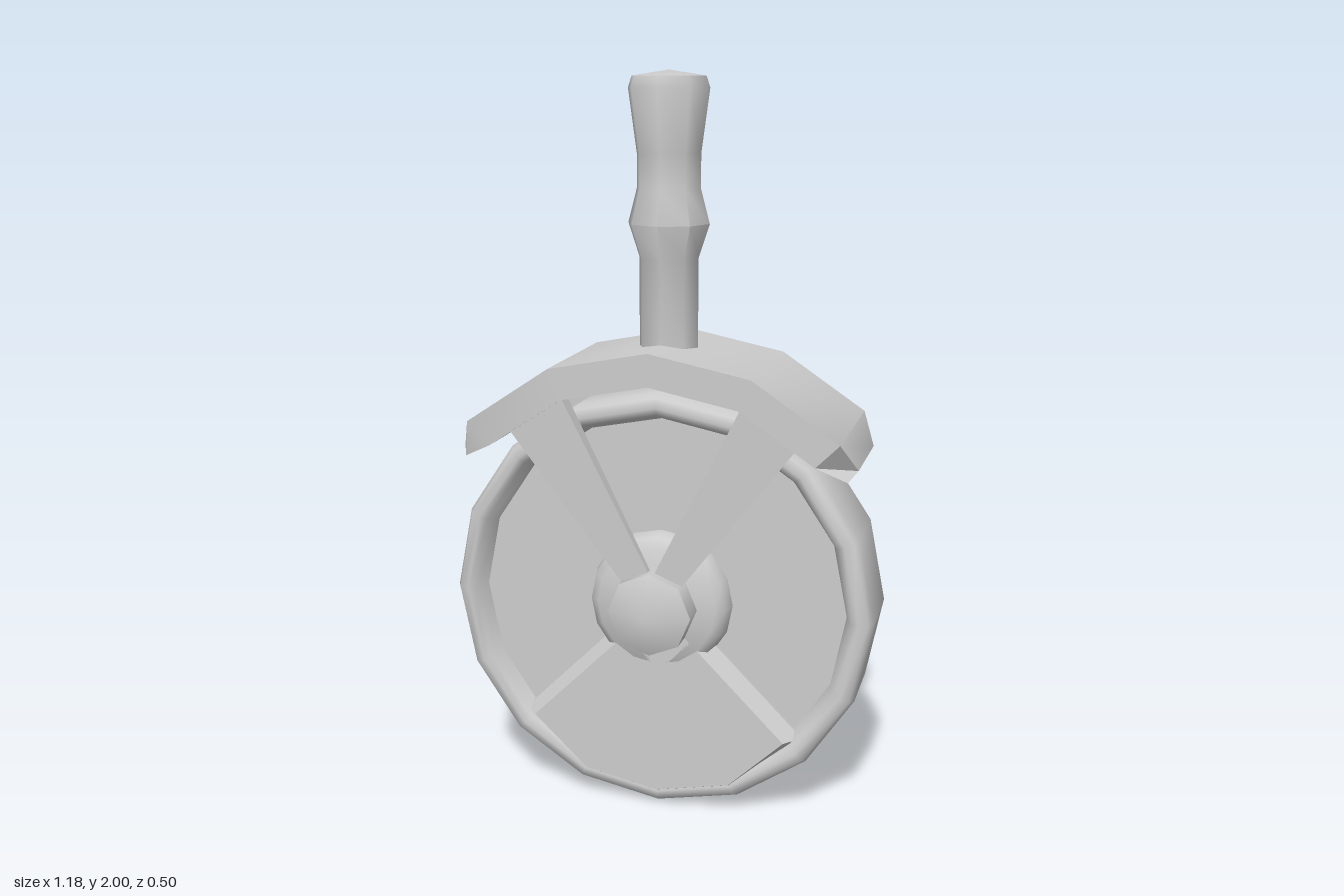
import * as THREE from 'three';
import { toCreasedNormals } from 'three/addons/utils/BufferGeometryUtils.js';

const CENTER_Y = 0.588; // wheel axis height
const grey = new THREE.MeshStandardMaterial({ color: 0xcccccc });
grey.name = 'light grey';

function part(name, geometry, crease = 0.9) {
  const mesh = new THREE.Mesh(toCreasedNormals(geometry, crease), grey);
  mesh.name = name;
  return mesh;
}

// Turned shape from [radius, height] pairs, listed bottom to top
function turned(profile, sides) {
  return new THREE.LatheGeometry(profile.map(([r, h]) => new THREE.Vector2(r, h)), sides);
}

// Adds the mirrored lower half to the upper half of a profile
function bothSides(upper) {
  return [...upper.map(([r, h]) => [r, -h]).reverse(), ...upper];
}

// Solid through four-cornered cross-sections, capped at both ends
function loft(sections) {
  const pos = [];
  const quad = (a, b, c, d) => pos.push(...a, ...b, ...c, ...a, ...c, ...d);
  for (let i = 0; i < sections.length - 1; i++) {
    const s = sections[i], t = sections[i + 1];
    for (let k = 0; k < 4; k++) {
      const n = (k + 1) % 4;
      quad(s[k], t[k], t[n], s[n]);
    }
  }
  quad(...sections[0]);
  quad(...[...sections[sections.length - 1]].reverse());
  const geometry = new THREE.BufferGeometry();
  geometry.setAttribute('position', new THREE.Float32BufferAttribute(pos, 3));
  geometry.computeVertexNormals();
  return geometry;
}

function makeWheel() {
  const wheel = new THREE.Group();
  wheel.name = 'wheel';
  wheel.position.y = CENTER_Y;

  // Rounded rim, thin recessed disc and raised hub, all around the z axis
  const rim = [[0.588, 0.1], [0.576, 0.122], [0.55, 0.13], [0.53, 0.12], [0.508, 0.06]];
  const disc = [[0.53, 0.07], [0, 0.07]];
  const hub = [[0.2, 0.07], [0.19, 0.11], [0.165, 0.13], [0, 0.13]];
  for (const [name, profile] of [['rim', rim], ['recessedDisc', disc], ['hub', hub]]) {
    wheel.add(part(name, turned(bothSides(profile), 16).rotateX(Math.PI / 2)));
  }

  // Pointed axle caps run right through the wheel
  const cap = bothSides([[0.115, 0.2], [0, 0.25]]);
  wheel.add(part('axleCaps', turned(cap, 8).rotateX(Math.PI / 2)));

  // Raised lower sector with sloping edges
  const outline = [[0, 0.04], [-0.4, -0.36], [-0.22, -0.531], [0, -0.575], [0.22, -0.531], [0.4, -0.36]];
  const sector = new THREE.ExtrudeGeometry(
    new THREE.Shape(outline.map(([x, y]) => new THREE.Vector2(x, y))),
    { depth: 0.16, bevelThickness: 0.05, bevelSize: 0.03, bevelOffset: -0.03, bevelSegments: 1 });
  sector.translate(0, 0, -0.08);
  wheel.add(part('raisedSector', sector, 0.4));
  return wheel;
}

function makeFender() {
  const section = (ox, oy, oz, ix, iy, iz) =>
    [[ox, oy, oz], [ox, oy, -oz], [ix, iy, -iz], [ix, iy, iz]];
  const sections = [section(-0.54, 1.01, 0.135, -0.52, 0.988, 0.18)];
  for (let i = -2; i <= 2; i++) {
    const a = i * Math.PI / 8, s = Math.sin(a), c = Math.cos(a);
    sections.push(section(0.71 * s, CENTER_Y + 0.71 * c, 0.206,
      0.622 * s, CENTER_Y + 0.622 * c, 0.206));
  }
  sections.push(section(0.54, 1.01, 0.135, 0.52, 0.988, 0.18));
  return part('fender', loft(sections), 0.6);
}

// Tapered fork arm, widening upwards from the axle to the fender
function makeArmGeometry() {
  const section = (x0, y0, x1, y1, z) => [[x0, y0, z], [x0, y0, -z], [x1, y1, -z], [x1, y1, z]];
  return loft([
    section(-0.06, 0.635, 0.01, 0.66, 0.009),
    section(-0.41, 1.095, -0.255, 1.19, 0.023),
  ]);
}

export function createModel() {
  const model = new THREE.Group();
  model.name = 'casterWheel';
  model.add(makeWheel(), makeFender());

  const arm = makeArmGeometry();
  for (const z of [-0.164, 0.164]) {
    for (const turn of [0, Math.PI]) {
      const mesh = part('forkArm', arm, 0.4);
      mesh.position.z = z;
      mesh.rotation.y = turn;
      model.add(mesh);
    }
  }

  // Turned eight-sided stem
  model.add(part('stem', turned([
    [0, 1.25], [0.081, 1.25], [0.081, 1.52], [0.111, 1.61], [0.087, 1.7],
    [0.087, 1.79], [0.11, 1.955], [0.1, 1.985], [0, 2],
  ], 8)));
  return model;
}
